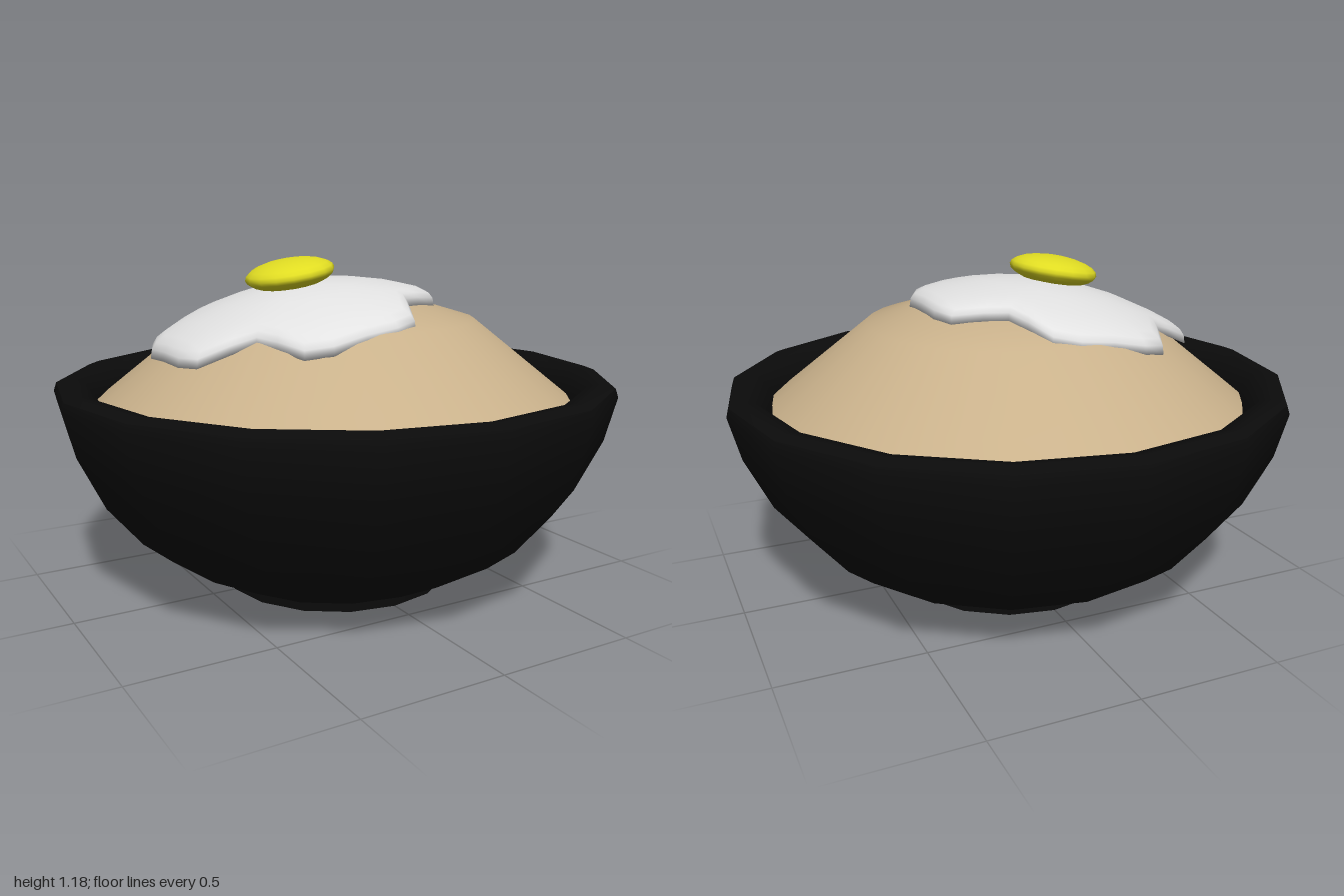
import * as THREE from 'three';
import { toCreasedNormals } from 'three/addons/utils/BufferGeometryUtils.js';

const material = (name, color) => {
  const m = new THREE.MeshStandardMaterial({ color });
  m.name = name;
  return m;
};

const part = (name, geometry, mat) => {
  const mesh = new THREE.Mesh(geometry, mat);
  mesh.name = name;
  return mesh;
};

const lathe = (points, sides) =>
  new THREE.LatheGeometry(points.map(([r, y]) => new THREE.Vector2(r, y)), sides);

const EGG_X = -0.165;

// Draped, tilted dome that the egg white follows
const drape = (u, z) => 1.09 + 0.165 * u - 0.46 * (u * u + z * z);

// Four-lobed egg white: scaled copies of one outline, joined ring to ring
function eggWhiteGeometry() {
  const quarter = [
    [0.49, 0], [0.49, 0.12], [0.455, 0.205], [0.36, 0.25],
    [0.285, 0.285], [0.25, 0.36], [0.205, 0.455], [0.12, 0.485],
  ];
  const outline = [];
  let turn = ([x, z]) => [x, z];
  for (let q = 0; q < 4; q++) {
    outline.push(...quarter.map(turn));
    const previous = turn;
    turn = (p) => { const [x, z] = previous(p); return [-z, x]; };
  }
  // [outline scale, drop below the dome]
  const rings = [
    [0.001, 0], [0.25, 0], [0.5, 0], [0.75, 0], [0.9, 0], [0.96, 0.006],
    [0.99, 0.02], [1, 0.048], [0.9, 0.05], [0.5, 0.06], [0.001, 0.07],
  ];
  const n = outline.length;
  const positions = [];
  const index = [];
  rings.forEach(([s, drop], i) => {
    outline.forEach(([x, z], j) => {
      positions.push(x * s, drape(x * s, z * s) - drop, z * s);
      if (i === 0) return;
      const a = (i - 1) * n + j, b = (i - 1) * n + (j + 1) % n;
      index.push(a, b, a + n, b, b + n, a + n);
    });
  });
  const g = new THREE.BufferGeometry();
  g.setAttribute('position', new THREE.Float32BufferAttribute(positions, 3));
  g.setIndex(index);
  g.computeVertexNormals();
  return g;
}

export function createModel() {
  const black = material('bowl black', 0x0b0b0b);
  const tan = material('rice tan', 0xc9b18b);
  const white = material('egg white', 0xe2e2e2);
  const yellow = material('yolk yellow', 0xe0dc22);

  const model = new THREE.Group();
  model.name = 'riceBowl';

  // Bowl: outer wall, rounded rim and inner wall in one profile
  const bowl = lathe([
    [0, 0.045], [0.45, 0.045], [0.65, 0.15], [0.75, 0.23], [0.87, 0.375],
    [0.96, 0.56], [1, 0.715], [0.99, 0.745], [0.95, 0.76], [0.9, 0.75],
    [0.855, 0.69], [0.8, 0.5], [0.6, 0.25], [0, 0.15],
  ], 16);
  model.add(part('bowl', toCreasedNormals(bowl, 0.8), black));

  const foot = new THREE.CylinderGeometry(0.415, 0.415, 0.06, 16);
  foot.translate(0, 0.03, 0);
  model.add(part('foot', foot, black));

  // Rice mound, running down into the bowl wall
  model.add(part('rice', lathe([
    [0.9, 0.635], [0.85, 0.68], [0.75, 0.76], [0.5, 0.96], [0.3, 1.02], [0.15, 1.035], [0, 1.04],
  ], 32), tan));

  // Fried egg
  const eggWhite = part('eggWhite', eggWhiteGeometry(), white);
  eggWhite.position.x = EGG_X;
  model.add(eggWhite);

  const yolk = part('yolk', new THREE.SphereGeometry(0.158, 16, 12), yellow);
  yolk.scale.y = 0.33;
  yolk.rotation.z = 0.17;
  yolk.position.set(-0.18, 1.122, 0);
  model.add(yolk);

  return model;
}
